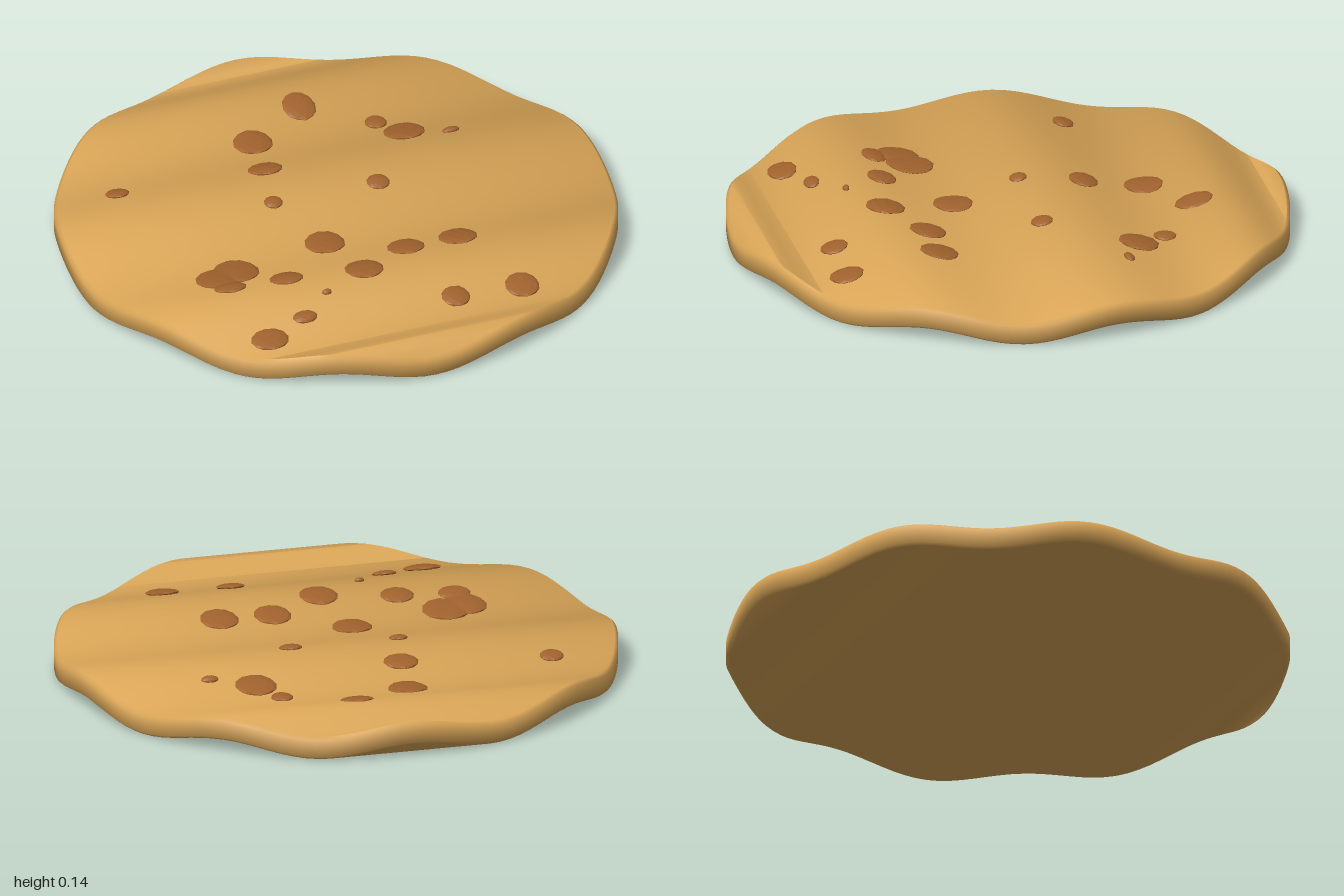
import * as THREE from 'three';
import { toCreasedNormals } from 'three/addons/utils/BufferGeometryUtils.js';

const N = 144;
// Nine waves run around the rim; each cross strip keeps the rim's height.
const wave = (z) => -0.022 * Math.cos(9 * Math.acos(Math.max(-1, Math.min(1, z))));
const TOP = 0.105;

// Thin wavy disc: a bevelled rim closed by strips running from side to side
function wavyDisc() {
  const rings = [[0.988, TOP], [1, TOP - 0.01], [1, 0.032], [0.988, 0.022]];
  const pos = [], idx = [];
  for (const [r, y] of rings) {
    for (let i = 0; i < N; i++) {
      const a = (i / N) * Math.PI * 2;
      pos.push(r * Math.sin(a), y + wave(Math.cos(a)), r * Math.cos(a));
    }
  }
  const at = (k, i) => k * N + (i % N);
  for (let k = 0; k < 3; k++) {
    for (let i = 0; i < N; i++) {
      idx.push(at(k, i), at(k + 1, i), at(k + 1, i + 1));
      idx.push(at(k, i), at(k + 1, i + 1), at(k, i + 1));
    }
  }
  const cap = (k, up) => {
    const tri = (a, b, c) => idx.push(...(up ? [a, b, c] : [a, c, b]));
    for (let i = 0; i < N / 2; i++) {
      const r0 = at(k, i), r1 = at(k, i + 1), l0 = at(k, N - i), l1 = at(k, N - i - 1);
      if (r1 !== l1) tri(r0, r1, l1);
      if (r0 !== l0) tri(r0, l1, l0);
    }
  };
  cap(0, true);
  cap(3, false);
  const g = new THREE.BufferGeometry();
  g.setAttribute('position', new THREE.Float32BufferAttribute(pos, 3));
  g.setIndex(idx);
  return toCreasedNormals(g, 0.9);
}

// Chips: x, z, half width, half depth
const CHIPS = [
  [0.11, -0.65, 0.06, 0.07], [-0.115, -0.52, 0.072, 0.072], [0.34, -0.49, 0.04, 0.042],
  [0.405, -0.38, 0.075, 0.073], [-0.69, -0.365, 0.044, 0.038], [-0.15, -0.31, 0.064, 0.053],
  [0.555, -0.31, 0.032, 0.019], [-0.205, -0.085, 0.034, 0.032], [0.19, -0.078, 0.042, 0.04],
  [-0.11, 0.175, 0.073, 0.073], [-0.475, 0.245, 0.085, 0.088], [-0.555, 0.27, 0.078, 0.078],
  [-0.54, 0.36, 0.06, 0.045], [-0.335, 0.38, 0.062, 0.053], [-0.06, 0.432, 0.07, 0.072],
  [0.14, 0.325, 0.068, 0.067], [0.335, 0.33, 0.07, 0.07], [-0.24, 0.533, 0.018, 0.012],
  [-0.36, 0.63, 0.046, 0.028], [-0.52, 0.7, 0.07, 0.053], [0.193, 0.68, 0.052, 0.05],
  [0.44, 0.693, 0.062, 0.062],
];

export function createModel() {
  const dough = new THREE.MeshStandardMaterial({ color: 0xd9a557 });
  dough.name = 'golden dough';
  const chocolate = new THREE.MeshStandardMaterial({ color: 0xa0622d, flatShading: true });
  chocolate.name = 'brown chip';

  const model = new THREE.Group();
  model.name = 'cookie';
  const disc = new THREE.Mesh(wavyDisc(), dough);
  disc.name = 'cookieBase';
  model.add(disc);

  // Shallow faceted domes that follow the height and slope of the surface
  const chips = new THREE.Group();
  chips.name = 'chips';
  const dome = new THREE.IcosahedronGeometry(1, 1);
  for (const [x, z, w, d] of CHIPS) {
    const g = dome.clone().scale(w, 0.012, d);
    const p = g.attributes.position;
    for (let i = 0; i < p.count; i++) {
      p.setY(i, p.getY(i) + TOP + wave(z + p.getZ(i)) + 0.002);
    }
    g.computeVertexNormals();
    const chip = new THREE.Mesh(g, chocolate);
    chip.name = 'chip';
    chip.position.set(x, 0, z);
    chips.add(chip);
  }
  model.add(chips);
  return model;
}
